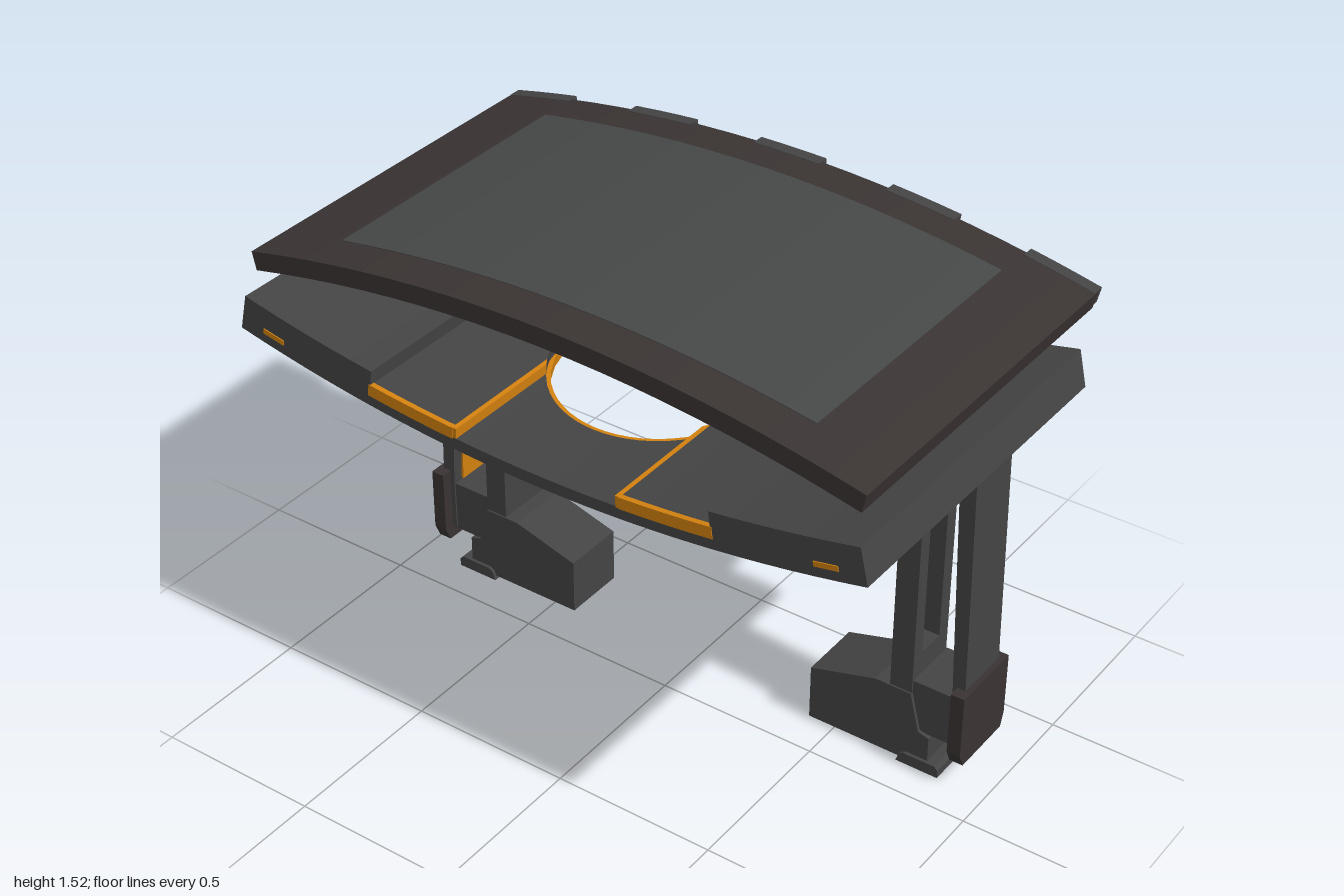
import * as THREE from 'three';

const mat = (color) => new THREE.MeshStandardMaterial({ color, flatShading: true, side: THREE.DoubleSide });
const GREY = mat(0x444444), BROWN = mat(0x3a3433), ORANGE = mat(0xd4820f), PANEL = mat(0x464848);

// Curves along z: canopy top surface, table bottom surface
const canopyCurve = (z) => 1.518 - 0.11 * ((z - 0.025) / 0.955) ** 2;
const tableCurve = (z) => 1.035 + 0.115 * z * z;

function mesh(group, name, geometry, material) {
  const m = new THREE.Mesh(geometry, material);
  m.name = name;
  group.add(m);
  return m;
}

// Curved slab following a curve in z, between two normal offsets; x limits may vary with z
function slab(curve, z0, z1, xa, xb, lo, hi, n = 12) {
  const val = (f, z) => (typeof f === 'function' ? f(z) : f);
  const pos = [], idx = [];
  for (let i = 0; i <= n; i++) {
    const z = z0 + ((z1 - z0) * i) / n;
    const slope = (curve(z + 0.001) - curve(z - 0.001)) / 0.002;
    const len = Math.hypot(1, slope);
    const a = val(xa, z), b = val(xb, z);
    for (const [x, o] of [[a, lo], [b, lo], [b, hi], [a, hi]]) {
      pos.push(x, curve(z) + o / len, z - (o * slope) / len);
    }
    if (i < n) {
      for (let k = 0; k < 4; k++) {
        const p = i * 4 + k, q = i * 4 + ((k + 1) % 4);
        idx.push(p, q, q + 4, p, q + 4, p + 4);
      }
    }
  }
  const e = n * 4;
  idx.push(0, 2, 1, 0, 3, 2, e, e + 1, e + 2, e, e + 2, e + 3);
  const g = new THREE.BufferGeometry();
  g.setAttribute('position', new THREE.Float32BufferAttribute(pos, 3));
  g.setIndex(idx);
  const flat = g.toNonIndexed();
  flat.computeVertexNormals();
  return flat;
}

// Side profile of [z, y] points, extruded from x0 to x1
function profile(points, x0, x1, s = 1) {
  const shape = new THREE.Shape(points.map(([z, y]) => new THREE.Vector2(-z * s, y)));
  const g = new THREE.ExtrudeGeometry(shape, { depth: x1 - x0, bevelEnabled: false });
  return g.rotateY(Math.PI / 2).translate(x0, 0, 0);
}

// Front profile of [x, y] points with an optional hole, extruded from z0 to z1
function plate(points, hole, z0, z1, s) {
  const vec = (list) => list.map(([x, y]) => new THREE.Vector2(x, y));
  const shape = new THREE.Shape(vec(points));
  if (hole) shape.holes.push(new THREE.Path(vec(hole)));
  const g = new THREE.ExtrudeGeometry(shape, { depth: z1 - z0, bevelEnabled: false });
  return g.translate(0, 0, s > 0 ? z0 : -z1);
}

const rect = (a, b, c, d) => [[a, c], [b, c], [b, d], [a, d]];

function buildCanopy() {
  const g = new THREE.Group();
  g.name = 'canopy';
  mesh(g, 'canopyShell', slab(canopyCurve, -0.93, 0.98, -0.57, 0.545, -0.055, 0, 20), BROWN);
  mesh(g, 'canopyUnderside', slab(canopyCurve, -0.92, 0.97, -0.56, 0.535, -0.058, -0.05, 20), GREY);
  mesh(g, 'canopyPanel', slab(canopyCurve, -0.72, 0.76, -0.445, 0.425, -0.01, 0.002, 16), PANEL);
  // Edge tabs with a lit strip
  for (let i = 0; i < 5; i++) {
    const z = -0.93 + i * 0.424;
    mesh(g, 'edgeTab', slab(canopyCurve, z, z + 0.212, 0.53, 0.568, -0.048, 0.001, 3), GREY);
    mesh(g, 'edgeTabStrip', slab(canopyCurve, z + 0.01, z + 0.202, 0.54, 0.571, -0.015, -0.002, 3), ORANGE);
  }
  // Housing under the middle
  mesh(g, 'underHousing', slab(canopyCurve, -0.285, 0.34, -0.32, 0.33, -0.115, -0.05, 6), GREY);
  for (const z of [-0.095, 0.155]) {
    mesh(g, 'housingStrip', slab(canopyCurve, z - 0.02, z + 0.02, -0.323, 0.333, -0.112, -0.055, 1), ORANGE);
  }
  return g;
}

function buildTable() {
  const g = new THREE.Group();
  g.name = 'table';
  const L = -0.57, R = 0.495, r = 0.32, t = 0.035;
  const half = (z, rad = r) => Math.sqrt(Math.max(0, rad * rad - z * z));
  // Plate around the round opening, split into two sides, with a lit rim
  for (const s of [-1, 1]) {
    const outer = s > 0 ? R : L;
    const side = (rin, out, lo, hi, z0, z1, n) => {
      const inner = (z) => s * half(z, rin);
      return s > 0 ? slab(tableCurve, z0, z1, inner, out, lo, hi, n)
        : slab(tableCurve, z0, z1, out, inner, lo, hi, n);
    };
    mesh(g, 'middlePlate', side(r, outer, 0, t, -r, r, 20), GREY);
    mesh(g, 'openingRim', side(r - 0.012, (z) => s * (half(z) + 0.002), 0.003, t - 0.001, -r, r, 20), ORANGE);
    // Raised panels beside the opening
    for (const e of [-1, 1]) {
      const [z0, z1] = e > 0 ? [0.27, 0.555] : [-0.555, -0.27];
      mesh(g, 'raisedPanel', side(r, outer - s * 0.012, t - 0.005, 0.065, z0, z1, 10), GREY);
      const lip = e > 0 ? [0.258, 0.272] : [-0.272, -0.258];
      mesh(g, 'raisedPanelLip', side(r, outer, t - 0.004, 0.066, lip[0], lip[1], 1), ORANGE);
      const xs = s > 0 ? [R - 0.014, R + 0.002] : [L - 0.002, L + 0.014];
      mesh(g, 'raisedPanelEdge', slab(tableCurve, z0, z1, ...xs, t - 0.004, 0.066, 4), ORANGE);
      // Small edge marker
      const mz = e > 0 ? [0.85, 0.92] : [-0.92, -0.85];
      const mx = s > 0 ? [R - 0.01, R + 0.003] : [L - 0.003, L + 0.01];
      mesh(g, 'edgeMarker', slab(tableCurve, ...mz, ...mx, 0.03, 0.045, 1), ORANGE);
    }
  }
  for (const e of [-1, 1]) {
    const span = (a, b) => (e > 0 ? [a, b] : [-b, -a]);
    mesh(g, 'innerPlate', slab(tableCurve, ...span(r, 0.56), L, R, 0, t, 4), GREY);
    mesh(g, 'thickEnd', slab(tableCurve, ...span(0.55, 0.995), L, R, 0, 0.11, 6), GREY);
    // Lights on the underside
    for (const [x, z, w] of [[0.37, 0.42, 0.08], [-0.225, 0.92, 0.13], [0.295, 0.92, 0.075], [-0.5, 0.25, 0.1]]) {
      mesh(g, 'undersideLight', slab(tableCurve, ...span(z - 0.035, z + 0.035), x - w / 2, x + w / 2, -0.003, 0.01, 2), ORANGE);
    }
  }
  return g;
}

function buildLeg(s) {
  const g = new THREE.Group();
  g.name = s > 0 ? 'frontLeg' : 'backLeg';
  const side = (name, pts, x0, x1, m = GREY) => mesh(g, name, profile(pts, x0, x1, s), m);
  // Posts and bridges
  side('outerPost', [[0.912, 0.13], [0.91, 0.33], [0.893, 1.16], [0.842, 1.16], [0.845, 1.03], [0.872, 0.28], [0.87, 0.13]], 0.125, 0.305);
  side('postLight', [[0.875, 0.29], [0.85, 1.02], [0.843, 1.02], [0.865, 0.29]], 0.16, 0.27, ORANGE);
  side('postSeam', [[0.884, 0.29], [0.852, 1.1], [0.845, 1.1], [0.876, 0.29]], 0.2, 0.308, ORANGE);
  mesh(g, 'innerPost', plate(rect(0.125, 0.305, 0.24, 1.3), rect(0.17, 0.26, 0.36, 0.96), 0.675, 0.745, s), GREY);
  side('neck', [[0.74, 1.02], [0.74, 1.39], [0.865, 1.39], [0.885, 1.15], [0.848, 1.02]], 0.127, 0.3);
  side('lowerBridge', [[0.72, 0.12], [0.72, 0.26], [0.745, 0.285], [0.88, 0.285], [0.89, 0.12]], 0.13, 0.31);
  // Shin guard
  mesh(g, 'guard', plate([[0.09, 0.13], [0.11, 0.085], [0.315, 0.085], [0.33, 0.13], [0.33, 0.33], [0.09, 0.33]], null, 0.885, 0.927, s), BROWN);
  // Foot and base
  side('foot', [[0.42, 0.01], [0.42, 0.185], [0.63, 0.245], [0.745, 0.245], [0.775, 0.125], [0.81, 0.115], [0.81, 0.01]], 0.12, 0.32);
  side('footBase', [[0.715, 0], [0.725, 0.028], [0.74, 0.036], [0.84, 0.036], [0.85, 0.025], [0.85, 0]], 0.11, 0.345);
  // Lit ring, trace and vents on the foot
  const ring = new THREE.TorusGeometry(0.034, 0.007, 4, 8).rotateY(Math.PI / 2).translate(0.32, 0.102, 0.54 * s);
  mesh(g, 'footRing', ring, ORANGE);
  side('footTrace', [[0.576, 0.096], [0.7, 0.096], [0.795, 0.116], [0.795, 0.13], [0.7, 0.11], [0.576, 0.11]], 0.3, 0.324, ORANGE);
  for (let i = 0; i < 3; i++) {
    const z = 0.775 + i * 0.028;
    side('vent', [[z, 0.14], [z + 0.009, 0.14], [z + 0.016, 0.245], [z + 0.006, 0.245]], 0.3, 0.314, ORANGE);
  }
  return g;
}

export function createModel() {
  const model = new THREE.Group();
  model.name = 'archedTable';
  model.add(buildCanopy(), buildTable(), buildLeg(1), buildLeg(-1));
  return model;
}
